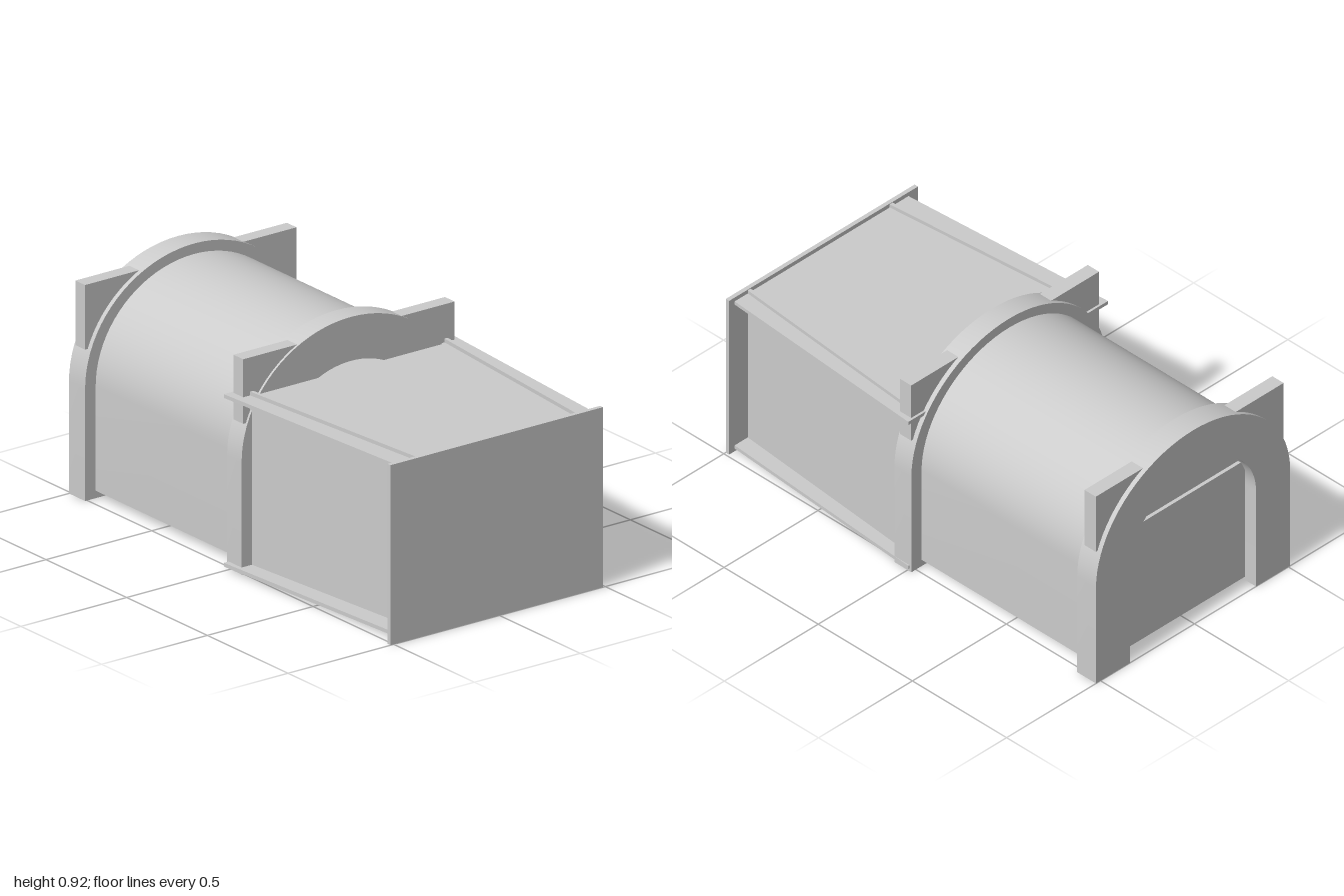
import * as THREE from 'three';
import { toCreasedNormals } from 'three/addons/utils/BufferGeometryUtils.js';

const material = new THREE.MeshStandardMaterial({ color: 0xcccccc, side: THREE.DoubleSide });
const SPRING = 0.45; // height at which the vaults begin to curve

// Points of an arch: straight legs below a half ellipse
function archPoints(cx, halfWidth, rise, bottom, segments = 40) {
  const points = [new THREE.Vector2(cx + halfWidth, bottom)];
  for (let i = 0; i <= segments; i++) {
    const a = (Math.PI * i) / segments;
    points.push(new THREE.Vector2(cx + halfWidth * Math.cos(a), SPRING + rise * Math.sin(a)));
  }
  points.push(new THREE.Vector2(cx - halfWidth, bottom));
  return points;
}

// Inverted-U outline: outer arch joined to a smaller inner one
function archBand(cx, outer, inner, bottom) {
  return new THREE.Shape([
    ...archPoints(cx, outer[0], outer[1], bottom),
    ...archPoints(cx, inner[0], inner[1], bottom).reverse(),
  ]);
}

function polygon(points) {
  return new THREE.Shape(points.map(([x, y]) => new THREE.Vector2(x, y)));
}

export function createModel() {
  const model = new THREE.Group();

  function add(name, geometry, x = 0, y = 0, z = 0) {
    const mesh = new THREE.Mesh(geometry, material);
    mesh.name = name;
    mesh.position.set(x, y, z);
    model.add(mesh);
    return mesh;
  }
  // Outline in the xy plane, extruded from z0 to z1
  function addAlongZ(name, shape, z0, z1) {
    const geometry = new THREE.ExtrudeGeometry(shape, { depth: z1 - z0, bevelEnabled: false });
    return add(name, toCreasedNormals(geometry, 0.5), 0, 0, z0);
  }
  // Plan outline of [x, z] points, extruded from y0 to y1
  function addPlan(name, points, y0, y1) {
    const shape = polygon(points.map(([x, z]) => [x, -z]));
    const geometry = new THREE.ExtrudeGeometry(shape, { depth: y1 - y0, bevelEnabled: false });
    geometry.rotateX(-Math.PI / 2);
    return add(name, geometry, 0, y0, 0);
  }

  // Vaulted shell, open underneath
  addAlongZ('barrelVault', archBand(0.005, [0.465, 0.425], [0.435, 0.395], 0.03), -0.92, -0.01);

  // End arches, each with a pair of squared shoulder plates
  for (const [name, z0, z1, ear0, ear1] of [
    ['frontArch', -0.02, 0.07, 0, 0.06],
    ['backArch', -1, -0.9, -0.98, -0.92],
  ]) {
    addAlongZ(name, archBand(0.007, [0.517, 0.467], [0.335, 0.29], 0), z0, z1);
    for (const side of [-1, 1]) {
      const ear = [[0.22, 0.86], [0.5, 0.86], [0.5, 0.6], [0.38, 0.6]];
      addAlongZ(name + 'Shoulder', polygon(ear.map(([x, y]) => [0.005 + side * x, y])), ear0, ear1);
    }
  }

  // Closed back doorway: vaulted head and door panel
  addAlongZ('doorHead', new THREE.Shape(archPoints(0.007, 0.34, 0.295, 0.03)), -0.94, -0.91);
  add('doorPanel', new THREE.BoxGeometry(0.64, 0.55, 0.02), 0.007, 0.305, -0.945);

  // Tapered front box: floor and roof plates with projecting edges
  const plate = [[-0.533, -0.01], [0.53, -0.01], [0.46, 0.985], [-0.465, 0.985]];
  addPlan('floorPlate', plate, 0.013, 0.028);
  addPlan('roofPlate', plate, 0.692, 0.707);

  // Converging side walls
  for (const side of [-1, 1]) {
    const wall = [[0.472, 0], [0.385, 0.985], [0.37, 0.985], [0.457, 0]];
    addPlan('sideWall', wall.map(([x, z]) => [0.005 + side * x, z]), 0, 0.722);
  }
  add('frontPlate', new THREE.BoxGeometry(1.005, 0.725, 0.018), -0.013, 0.3625, 0.991);

  // Pipes running along the inside of one wall
  for (const y of [0.06, 0.47]) {
    const pipe = new THREE.CylinderGeometry(0.03, 0.03, 0.87, 20);
    pipe.rotateX(Math.PI / 2);
    add('pipe', pipe, -0.41, y, -0.475);
  }

  return model;
}
